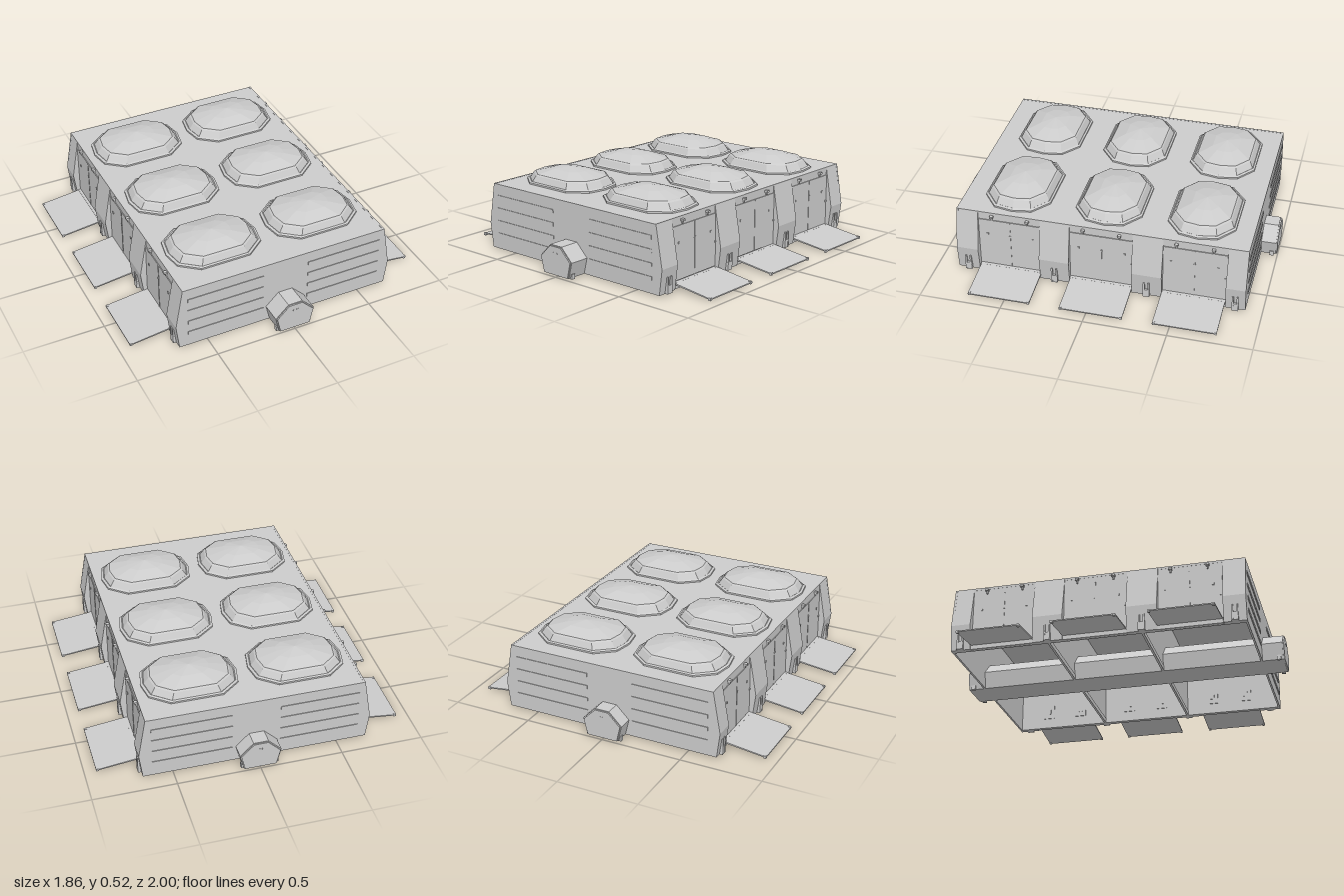
import * as THREE from 'three';

const material = new THREE.MeshStandardMaterial({ color: 0xcccccc, flatShading: true, side: THREE.DoubleSide });

const BACK = -0.9, FRONT = 0.865;           // end walls of the hall
const BAYS = [-0.587, -0.027, 0.535];       // z of the three bays

function add(parent, name, geometry, x = 0, y = 0, z = 0) {
  const mesh = new THREE.Mesh(geometry, material);
  mesh.name = name;
  mesh.position.set(x, y, z);
  parent.add(mesh);
  return mesh;
}

const box = (parent, name, w, h, d, x, y, z) =>
  add(parent, name, new THREE.BoxGeometry(w, h, d), x, y, z);

// Outline in x and y, drawn out along z from z0 to z1
function prism(parent, name, points, z0, z1) {
  const shape = new THREE.Shape(points.map(([x, y]) => new THREE.Vector2(x, y)));
  const geometry = new THREE.ExtrudeGeometry(shape, { depth: z1 - z0, bevelEnabled: false });
  return add(parent, name, geometry, 0, 0, z0);
}

// Faceted oblong dome: one outline, repeated at several scales and heights
function domeGeometry() {
  const outline = [
    [0.288, 0], [0.267, 0.115], [0.155, 0.203], [-0.155, 0.203], [-0.267, 0.115],
    [-0.288, 0], [-0.267, -0.115], [-0.155, -0.203], [0.155, -0.203], [0.267, -0.115],
  ];
  const rings = [[1, 0], [1, 0.01], [0.95, 0.016], [0.93, 0.012], [0.84, 0.05],
    [0.80, 0.058], [0.77, 0.058], [0.4, 0.087], [0, 0.102]];
  const n = outline.length, positions = [], index = [];
  for (const [s, y] of rings) for (const [x, z] of outline) positions.push(x * s, y, z * s);
  for (let r = 0; r < rings.length - 1; r++) {
    for (let i = 0; i < n; i++) {
      const a = r * n + i, b = r * n + (i + 1) % n;
      index.push(a, a + n, b);
      if (r < rings.length - 2) index.push(b, a + n, b + n);
    }
  }
  const geometry = new THREE.BufferGeometry();
  geometry.setAttribute('position', new THREE.Float32BufferAttribute(positions, 3));
  geometry.setIndex(index);
  geometry.computeVertexNormals();
  return geometry;
}

// Recessed door with its ramp and fittings, on the +x side
function makeDoorBay() {
  const bay = new THREE.Group();
  bay.name = 'doorBay';
  box(bay, 'doorPanel', 0.006, 0.32, 0.385, 0.657, 0.21, 0);
  box(bay, 'doorSeam', 0.003, 0.32, 0.006, 0.661, 0.21, 0);
  box(bay, 'doorSill', 0.03, 0.035, 0.385, 0.66, 0.028, 0);
  for (const z of [-0.14, 0, 0.14]) box(bay, 'doorFitting', 0.006, 0.012, 0.012, 0.661, 0.27, z);
  box(bay, 'doorLock', 0.006, 0.01, 0.015, 0.661, 0.2, -0.185);
  for (const z of [-0.11, 0.11]) {
    box(bay, 'doorLamp', 0.022, 0.012, 0.02, 0.664, 0.398, z);
    box(bay, 'lampBracket', 0.012, 0.022, 0.008, 0.659, 0.386, z);
    box(bay, 'innerPanel', 0.006, 0.09, 0.07, 0.643, 0.12, z);
    box(bay, 'innerWindow', 0.006, 0.03, 0.025, 0.639, 0.12, z);
  }
  prism(bay, 'ramp', [[0.66, 0.038], [0.93, 0.006], [0.93, 0.013], [0.66, 0.047]], -0.19, 0.19);
  for (const z of [-0.182, 0.182]) box(bay, 'rampFoot', 0.015, 0.017, 0.014, 0.921, 0.0085, z);
  return bay;
}

// Bent buttress with a footing post, on the +x side
function makeButtress(width) {
  const rib = new THREE.Group();
  rib.name = 'buttress';
  prism(rib, 'buttressBody', [[0.645, 0.01], [0.68, 0.01], [0.7, 0.165], [0.656, 0.415], [0.645, 0.415]],
    -width / 2, width / 2);
  for (const z of [-0.014, 0.014]) box(rib, 'footingPost', 0.03, 0.1, 0.01, 0.685, 0.06, z);
  box(rib, 'footingPad', 0.03, 0.05, 0.04, 0.684, 0.035, 0);
  return rib;
}

export function createModel() {
  const model = new THREE.Group();
  model.name = 'domedHall';
  const depth = FRONT - BACK, middle = (FRONT + BACK) / 2;

  // Roof and outer side walls, open underneath
  box(model, 'roof', 1.31, 0.012, depth, 0, 0.414, middle);
  for (const side of [-1, 1]) {
    box(model, 'sideWall', 0.01, 0.4, depth, side * 0.65, 0.21, middle);
    box(model, 'roofEdge', 0.012, 0.014, depth, side * 0.65, 0.414, middle);
  }

  // End walls with raised horizontal strips
  const half = [[0.68, 0.01], [0.7, 0.165], [0.656, 0.42]];
  const section = [...half, ...half.map(([x, y]) => [-x, y]).reverse()];
  for (const [z, dir] of [[FRONT, 1], [BACK, -1]]) {
    prism(model, 'endWall', section, dir > 0 ? z - 0.012 : z, dir > 0 ? z : z + 0.012);
    for (const side of [-1, 1]) {
      for (let row = 0; row < 4; row++) {
        box(model, 'wallStrip', 0.48, 0.022, 0.006, side * 0.385, 0.1 + row * 0.08, z + dir * 0.001);
      }
    }
  }

  // Thin partitions between the bays, with a skirting along the foot
  for (const z of [-0.307, 0.254]) {
    box(model, 'partition', 1.3, 0.4, 0.008, 0, 0.21, z);
    box(model, 'partitionSkirting', 1.29, 0.03, 0.014, 0, 0.025, z);
  }

  // Corridor through the hall, ending in a porch at each end
  prism(model, 'corridor', [[-0.1, 0.01], [0.1, 0.01], [0.125, 0.11], [0.045, 0.19], [-0.045, 0.19], [-0.125, 0.11]],
    -0.99, 0.99);
  for (const dir of [-1, 1]) {
    prism(model, 'porchFace', [[-0.095, 0.012], [0.095, 0.012], [0.118, 0.108], [0.042, 0.184], [-0.042, 0.184], [-0.118, 0.108]],
      dir > 0 ? 0.99 : -0.998, dir > 0 ? 0.998 : -0.99);
    for (const x of [-0.011, 0.011]) box(model, 'porchLamp', 0.012, 0.008, 0.004, x, 0.145, dir * 0.998);
    for (const x of [-0.105, 0.105]) box(model, 'porchFoot', 0.016, 0.03, 0.025, x, 0.02, dir * 0.965);
  }

  // Doors and buttresses on both sides
  const ribs = [[BACK, -0.78], [-0.4, -0.215], [0.165, 0.35], [0.73, FRONT]];
  for (const turn of [0, Math.PI]) {
    for (const z of BAYS) {
      const bay = makeDoorBay();
      bay.position.z = z;
      bay.rotation.y = turn;
      model.add(bay);
    }
    for (const [z0, z1] of ribs) {
      const rib = makeButtress(z1 - z0 - 0.002);
      rib.position.z = (z0 + z1) / 2;
      rib.rotation.y = turn;
      model.add(rib);
    }
  }

  // Two rows of roof domes
  const dome = domeGeometry();
  for (const x of [-0.322, 0.322]) {
    for (const z of BAYS) add(model, 'roofDome', dome, x, 0.42, z);
  }
  return model;
}
